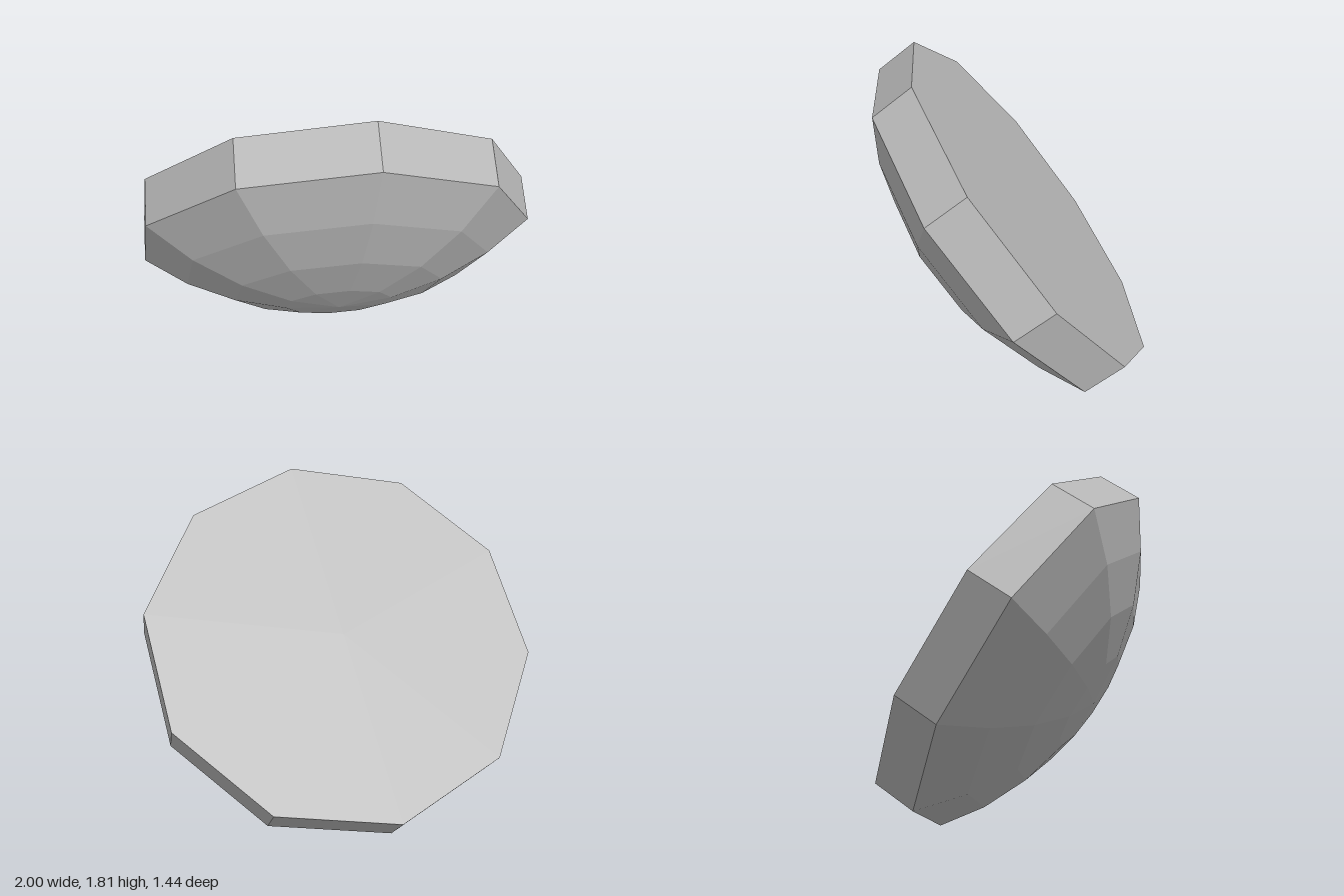
import * as THREE from 'three';

const SIDES = 10;
const RIM_RADIUS = 1.044;
const RIM_DEPTH = 0.24;
const DOME_HEIGHT = 0.37;
const DOME_RINGS = 4;

export function createModel() {
  const model = new THREE.Group();
  model.name = 'tiltedDome';

  const grey = new THREE.MeshStandardMaterial({ color: 0xb6b6b6, flatShading: true });
  grey.name = 'grey';

  // Ten-sided turned part from a profile of [radius, height] points
  const addTurned = (name, profile) => {
    const points = profile.map(([r, h]) => new THREE.Vector2(r, h));
    const mesh = new THREE.Mesh(new THREE.LatheGeometry(points, SIDES), grey);
    mesh.name = name;
    model.add(mesh);
  };

  // Flat back and straight rim
  addTurned('backPlate', [[0, -RIM_DEPTH], [RIM_RADIUS, -RIM_DEPTH]]);
  addTurned('rim', [[RIM_RADIUS, -RIM_DEPTH], [RIM_RADIUS, 0]]);

  // Shallow spherical cap, rings at equal angles
  const R = (RIM_RADIUS ** 2 + DOME_HEIGHT ** 2) / (2 * DOME_HEIGHT);
  const edgeAngle = Math.asin(RIM_RADIUS / R);
  const cap = [];
  for (let i = DOME_RINGS; i >= 0; i--) {
    const a = (edgeAngle * i) / DOME_RINGS;
    cap.push([R * Math.sin(a), DOME_HEIGHT - R * (1 - Math.cos(a))]);
  }
  addTurned('dome', cap);

  // Tilt: dome axis points forward and down, first corner points up
  const axis = new THREE.Vector3(-0.2, -0.59, 0.782).normalize();
  const corner = new THREE.Vector3(-0.003, 0.835, 0.63);
  const side = new THREE.Vector3().crossVectors(axis, corner).normalize();
  corner.crossVectors(side, axis);
  model.quaternion.setFromRotationMatrix(new THREE.Matrix4().makeBasis(side, axis, corner));
  model.position.set(-0.025, 0.837, 0.095);

  const root = new THREE.Group();
  root.name = 'model';
  root.add(model);
  return root;
}
